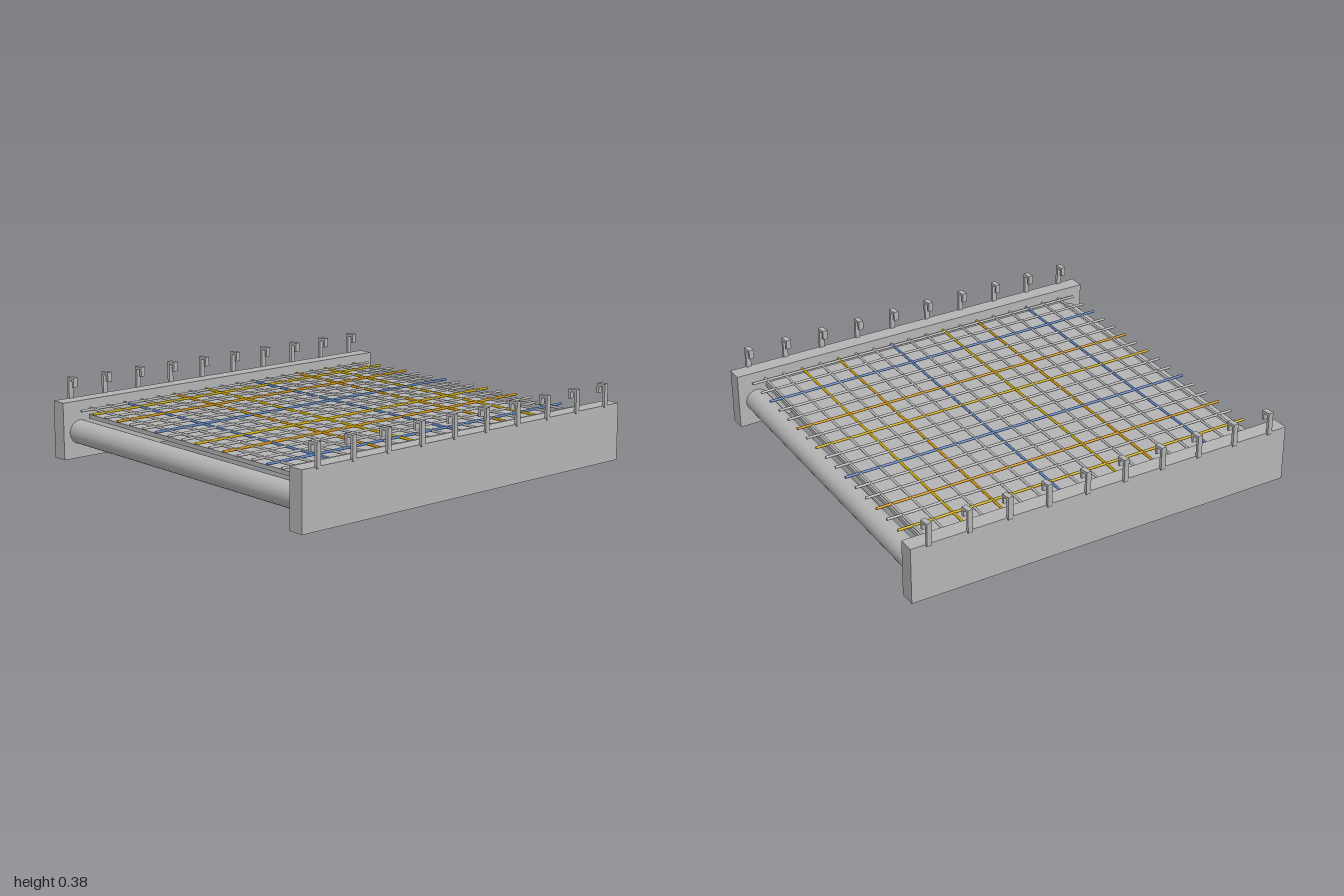
import * as THREE from 'three';

const mat = (name, color) => {
  const m = new THREE.MeshStandardMaterial({ color });
  m.name = name;
  return m;
};

export function createModel() {
  const group = new THREE.Group();
  const grey = mat('grey', 0xb4b4b4);
  const yellow = mat('yellow', 0xc8a808);
  const amber = mat('amber', 0xcc920a);
  const blue = mat('blue', 0x5c80bc);

  const add = (name, geometry, material, x, y, z, parent = group) => {
    const mesh = new THREE.Mesh(geometry, material);
    mesh.name = name;
    mesh.position.set(x, y, z);
    parent.add(mesh);
    return mesh;
  };

  // End boards, slightly offset sideways from each other
  const board = new THREE.BoxGeometry(1.985, 0.28, 0.08);
  add('frontBoard', board, grey, 0.0075, 0.14, 0.87);
  add('backBoard', board, grey, -0.0075, 0.14, -0.87);

  // Bed panel and the two side rollers
  add('bedPanel', new THREE.BoxGeometry(1.71, 0.021, 1.66), grey, -0.003, 0.197, 0.01);
  const roller = new THREE.CylinderGeometry(0.058, 0.058, 1.68, 32).rotateX(Math.PI / 2);
  add('leftRoller', roller, grey, 0.903, 0.128, 0);
  add('rightRoller', roller, grey, -0.907, 0.128, 0);

  // Woven net: lengthwise and crosswise strands with a repeating colour order
  const net = new THREE.Group();
  net.name = 'net';
  group.add(net);
  const rod = (length) => new THREE.CylinderGeometry(0.0065, 0.0065, length, 8);
  const lengthRod = rod(1.68).rotateX(Math.PI / 2);
  const crossRod = rod(1.855).rotateZ(Math.PI / 2);
  const lengthColours = { 2: blue, 5: amber, 7: yellow };
  const crossColours = { 1: yellow, 3: amber, 6: blue };
  for (let i = 0; i < 18; i++) {
    add('lengthStrand', lengthRod, lengthColours[i % 8] || grey, -0.845 + 0.1 * i, 0.234, 0, net);
  }
  for (let i = 0; i < 17; i++) {
    add('crossStrand', crossRod, crossColours[i % 8] || grey, 0.005, 0.236, -0.795 + 0.1 * i, net);
  }

  // Hook: outer stem, top bar and short inward lip, drawn in the z-y plane
  const outline = [
    [0.914, 0.27], [0.914, 0.385], [0.868, 0.385], [0.868, 0.338],
    [0.88, 0.338], [0.88, 0.372], [0.901, 0.372], [0.901, 0.27],
  ].map(([z, y]) => new THREE.Vector2(z - 0.89, y));
  const hook = new THREE.ExtrudeGeometry(new THREE.Shape(outline), { depth: 0.026, bevelEnabled: false });
  hook.translate(0, 0, -0.013).rotateY(-Math.PI / 2);
  for (let i = 0; i < 10; i++) {
    const x = -0.9 + 0.2 * i;
    add('frontHook', hook, grey, x + 0.003, 0, 0.89).rotation.y = 0.12;
    add('backHook', hook, grey, x - 0.002, 0, -0.892).rotation.y = Math.PI + 0.12;
  }
  return group;
}
